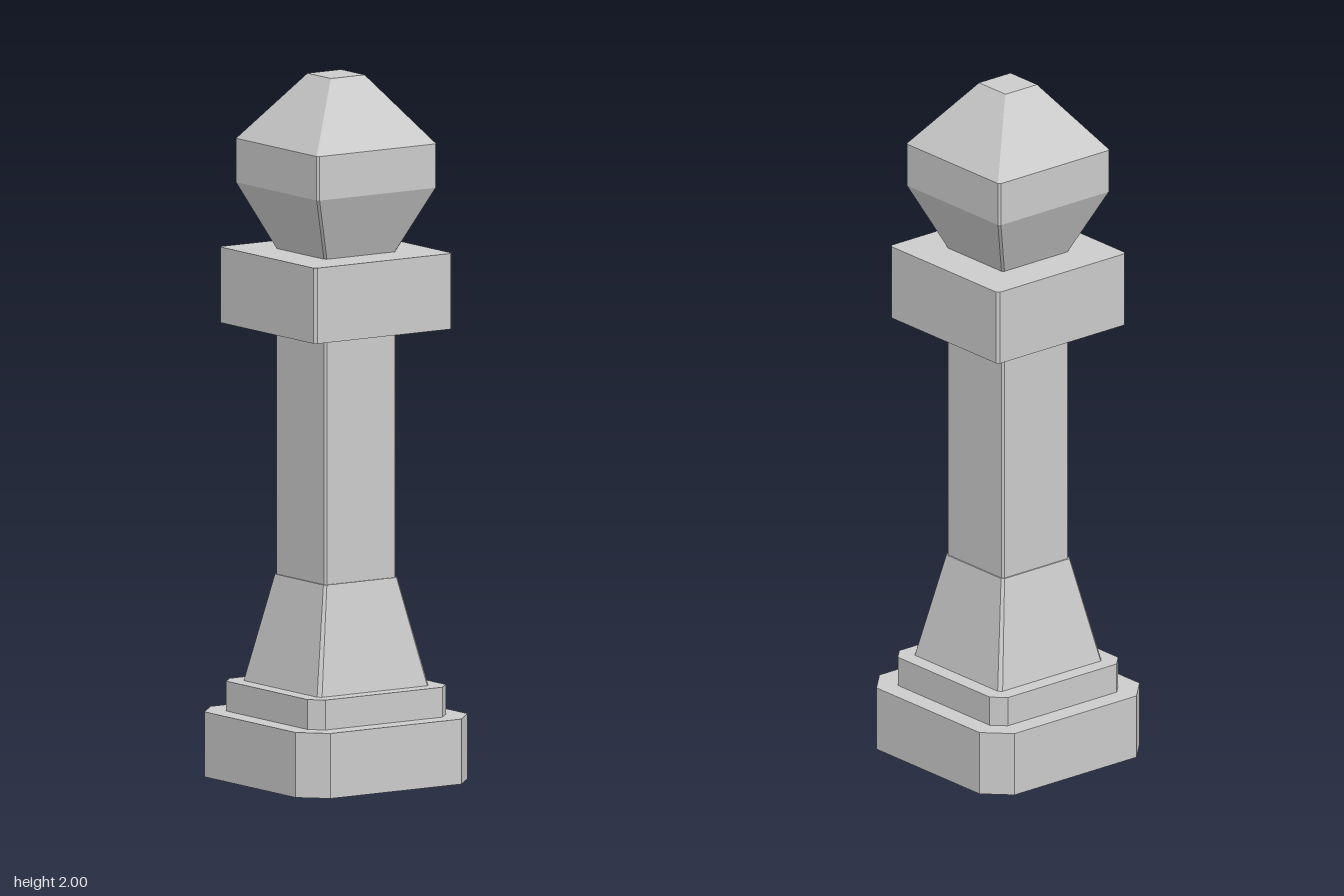
import * as THREE from 'three';

const material = new THREE.MeshStandardMaterial({ color: 0xcccccc, flatShading: true });

// Square outline with cut corners, counter-clockwise seen from above
function ring([y, half, cut]) {
  const points = [];
  for (let i = 0; i < 4; i++) {
    const turn = (i * Math.PI) / 2;
    for (const z of [half - cut, -(half - cut)]) {
      points.push(new THREE.Vector3(half, y, z).applyAxisAngle(THREE.Object3D.DEFAULT_UP, turn));
    }
  }
  return points;
}

// Closed solid through a stack of [height, half width, corner cut] sections
function loft(name, sections) {
  const rings = sections.map(ring);
  const corners = [];
  const n = 8;
  for (let s = 0; s < rings.length - 1; s++) {
    const low = rings[s], high = rings[s + 1];
    for (let i = 0; i < n; i++) {
      const j = (i + 1) % n;
      corners.push(low[i], low[j], high[j], low[i], high[j], high[i]);
    }
  }
  const bottom = rings[0], top = rings[rings.length - 1];
  for (let i = 1; i < n - 1; i++) {
    corners.push(top[0], top[i], top[i + 1], bottom[0], bottom[i + 1], bottom[i]);
  }
  const geometry = new THREE.BufferGeometry().setFromPoints(corners);
  geometry.computeVertexNormals();
  const mesh = new THREE.Mesh(geometry, material);
  mesh.name = name;
  return mesh;
}

export function createModel() {
  const model = new THREE.Group();
  model.name = 'bollard';
  model.add(
    // Stepped foot
    loft('base', [[0, 0.294, 0.07], [0.185, 0.294, 0.07]]),
    loft('plinth', [[0.185, 0.236, 0.036], [0.27, 0.236, 0.036]]),
    // Post
    loft('taperedFoot', [[0.27, 0.19, 0.01], [0.575, 0.126, 0.007]]),
    loft('shaft', [[0.575, 0.122, 0.006], [1.285, 0.122, 0.006]]),
    loft('collar', [[1.285, 0.236, 0.008], [1.5, 0.236, 0.008]]),
    // Faceted finial
    loft('finial', [[1.5, 0.122, 0.006], [1.685, 0.204, 0.006], [1.81, 0.204, 0.006], [2, 0.058, 0.001]]),
  );
  return model;
}
